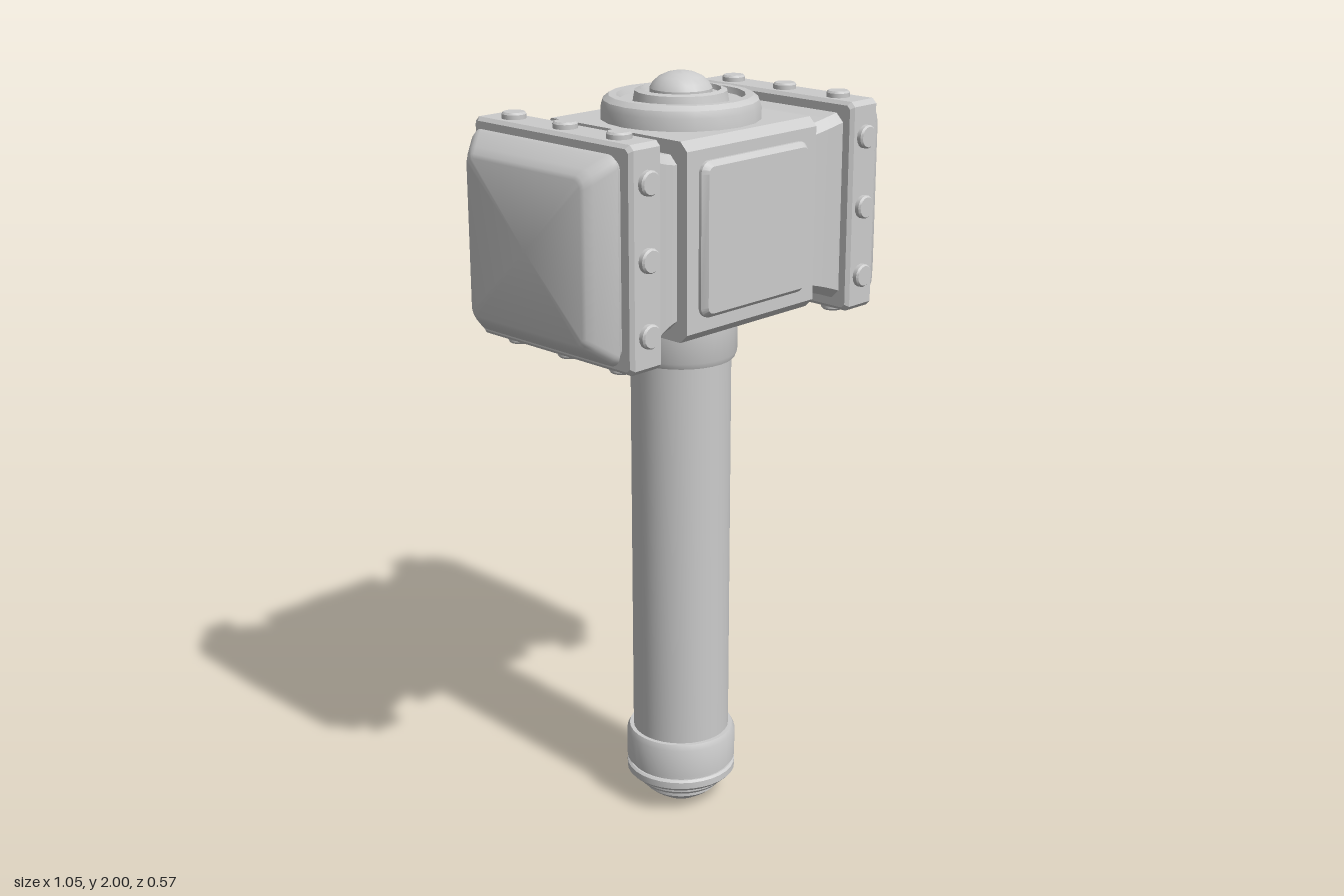
import * as THREE from 'three';
import { toCreasedNormals } from 'three/addons/utils/BufferGeometryUtils.js';

const HEAD_Y = 1.64;
const material = new THREE.MeshStandardMaterial({ color: 0xcccccc });

function part(name, geometry, parent, crease = 0.5) {
  const mesh = new THREE.Mesh(toCreasedNormals(geometry, crease), material);
  mesh.name = name;
  parent.add(mesh);
  return mesh;
}

// Lofts squares with cut or rounded corners along x; sections are [x, halfSize, corner].
function loftX(sections, steps = 1) {
  const pos = [], index = [], n = 4 * (steps + 1);
  for (const [x, half, r] of sections) {
    for (let q = 0; q < 4; q++) {
      const mid = Math.PI / 4 + q * Math.PI / 2;
      const cy = Math.sign(Math.cos(mid)) * (half - r);
      const cz = Math.sign(Math.sin(mid)) * (half - r);
      for (let s = 0; s <= steps; s++) {
        const a = (q + s / steps) * Math.PI / 2;
        pos.push(x, cy + r * Math.cos(a), cz + r * Math.sin(a));
      }
    }
  }
  const last = sections.length - 1;
  for (let i = 0; i < last; i++) {
    for (let j = 0; j < n; j++) {
      const k = (j + 1) % n, a = i * n + j, b = i * n + k;
      index.push(a, b, a + n, b, b + n, a + n);
    }
  }
  // End faces
  const c = pos.length / 3;
  pos.push(sections[0][0], 0, 0, sections[last][0], 0, 0);
  for (let j = 0; j < n; j++) {
    const k = (j + 1) % n;
    index.push(c, k, j, c + 1, last * n + j, last * n + k);
  }
  const geometry = new THREE.BufferGeometry();
  geometry.setAttribute('position', new THREE.Float32BufferAttribute(pos, 3));
  geometry.setIndex(index);
  return geometry;
}

function lathe(points, segments) {
  return new THREE.LatheGeometry(points.map(([r, y]) => new THREE.Vector2(r, y)), segments);
}

function roundedSquare(half, r) {
  const s = new THREE.Shape(), k = half - r;
  [[k, k], [-k, k], [-k, -k], [k, -k]].forEach(([x, y], q) =>
    s.absarc(x, y, r, q * Math.PI / 2, (q + 1) * Math.PI / 2, false));
  s.closePath();
  return s;
}

export function createModel() {
  const model = new THREE.Group();
  model.name = 'hammer';

  // Handle with its collar and stepped pommel
  part('handle', lathe([[0, 0.18], [0.13, 0.18], [0.13, 1.3], [0, 1.3]], 32), model);
  part('collar', lathe([[0.128, 1.275], [0.139, 1.275], [0.145, 1.29], [0.145, 1.368],
    [0.138, 1.374], [0.148, 1.38], [0.148, 1.43], [0, 1.43]], 32), model);
  part('pommel', lathe([[0, 0.005], [0.06, 0.005], [0.085, 0.022], [0.1, 0.035], [0.1, 0.05],
    [0.115, 0.052], [0.121, 0.06], [0.121, 0.073], [0.138, 0.075], [0.148, 0.085],
    [0.148, 0.103], [0.142, 0.108], [0.138, 0.108], [0.138, 0.115], [0.148, 0.12],
    [0.148, 0.2], [0.141, 0.215], [0.128, 0.215]], 32), model);
  part('pommelTip', lathe([[0, 0], [0.05, 0], [0.06, 0.005]], 32), model);

  // Hammer head
  const head = new THREE.Group();
  head.name = 'head';
  head.position.y = HEAD_Y;
  model.add(head);
  const block = part('centreBlock',
    loftX([[-0.23, 0.243, 0.022], [0.23, 0.243, 0.022]]), head, 0.3);
  block.position.y = 0.002;

  // Raised square panels, front and back
  for (const side of [0, 1]) {
    const panel = new THREE.Group();
    panel.name = side ? 'backPanel' : 'frontPanel';
    panel.rotation.y = side * Math.PI;
    panel.position.y = 0.005;
    head.add(panel);
    const plate = part('panelPlate', new THREE.ExtrudeGeometry(roundedSquare(0.178, 0.018), {
      depth: 0.02, bevelEnabled: true, bevelThickness: 0.014, bevelSize: 0.012,
      bevelSegments: 1, curveSegments: 5 }), panel);
    plate.position.z = 0.231;
  }

  // Flared necks, studded bands and striking faces
  const neck = [];
  for (let i = 0; i <= 8; i++) {
    const t = i / 8;
    neck.push([0.21 + 0.14 * t, 0.209 + 0.036 * Math.pow(t, 1.6), 0.022]);
  }
  for (const side of [0, 1]) {
    const end = new THREE.Group();
    end.name = side ? 'rightEnd' : 'leftEnd';
    end.rotation.y = side * Math.PI;
    head.add(end);
    part('neck', loftX(neck), end, 0.3);
    part('band', loftX([[0.337, 0.261, 0.009], [0.346, 0.27, 0.012],
      [0.43, 0.27, 0.012], [0.439, 0.261, 0.009]]), end, 0.3);
    part('strikingFace', loftX([[0.43, 0.232, 0.025], [0.445, 0.238, 0.028],
      [0.458, 0.248, 0.03], [0.47, 0.243, 0.032], [0.505, 0.217, 0.032],
      [0.52, 0.203, 0.028], [0.525, 0.193, 0.022]], 5), end);
    // Three studs on each of the four sides of the band
    for (let q = 0; q < 4; q++) {
      const row = new THREE.Group();
      row.name = 'studRow';
      row.rotation.x = q * Math.PI / 2;
      end.add(row);
      for (const z of [-0.18, 0, 0.18]) {
        const stud = part('stud', lathe([[0.03, -0.01], [0.03, 0.011], [0.026, 0.016],
          [0, 0.016]], 16), row);
        stud.position.set(0.387, 0.27, z);
      }
    }
  }

  // Round crown on top of the head
  part('crownDisc', lathe([[0.2, 1.86], [0.2, 1.915], [0.194, 1.932], [0.18, 1.943],
    [0.16, 1.943], [0.155, 1.928], [0.12, 1.928], [0.115, 1.953], [0.1, 1.957],
    [0.096, 1.945], [0, 1.945]], 20), model);
  part('crownDome', lathe([[0.078, 1.94], [0.078, 1.958], [0.07, 1.972], [0.054, 1.986],
    [0.034, 1.995], [0.015, 1.999], [0, 2]], 20), model);

  return model;
}
